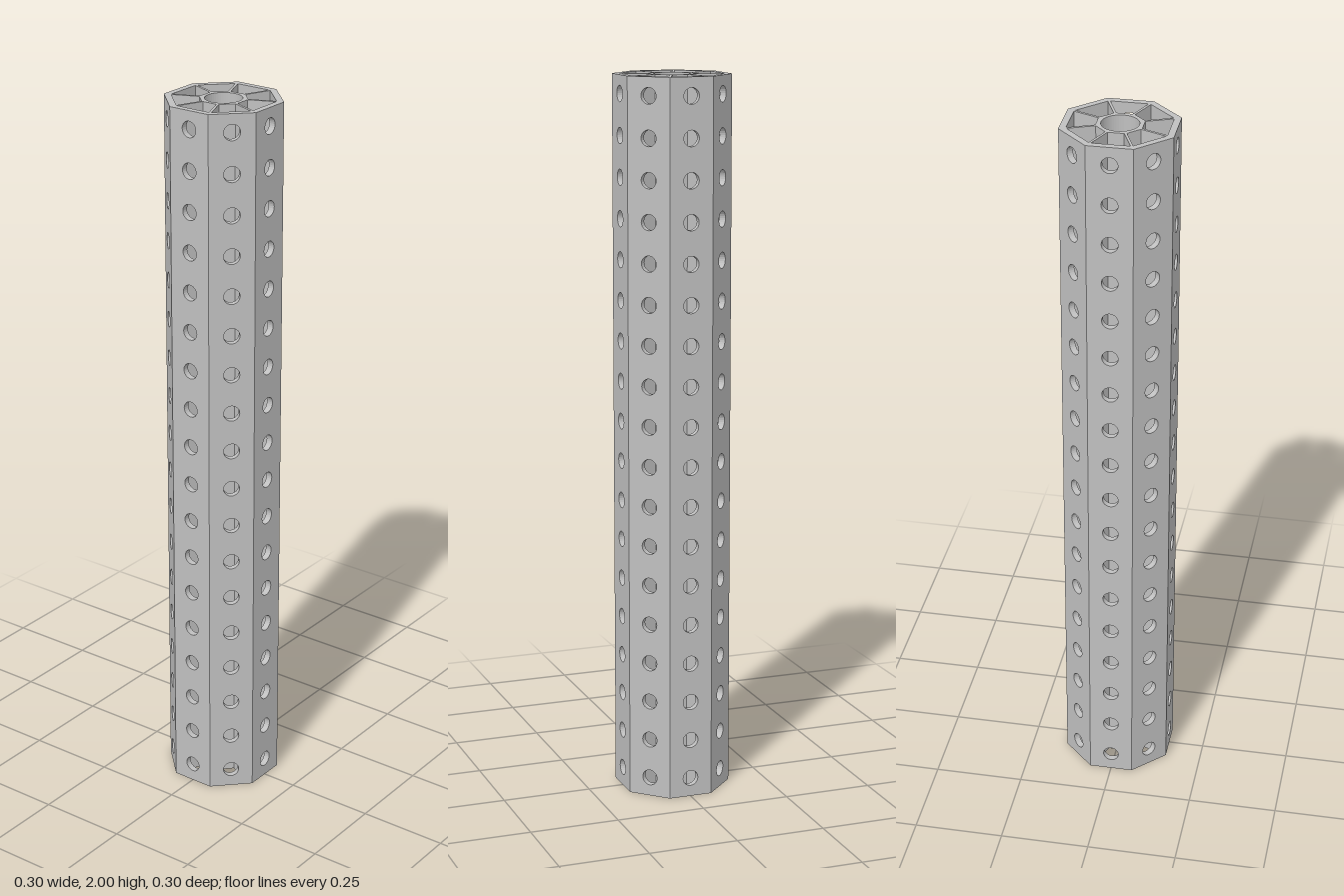
import * as THREE from 'three';

const HEIGHT = 2;
const OUTER = 0.149;        // centre to outer flat
const INNER = 0.131;        // centre to inside of the shell
const HUB = 0.061;          // centre to hub flat
const BORE = 0.05;
const HOLE_RADIUS = 0.022;
const HOLES = 18;
const TAN = Math.tan(Math.PI / 8);
const COS = Math.cos(Math.PI / 8);

// One perforated side wall, with its long edges mitred to meet its neighbours
function wallGeometry() {
  const half = OUTER * TAN;
  const shape = new THREE.Shape();
  shape.moveTo(-half, 0);
  shape.lineTo(half, 0);
  shape.lineTo(half, HEIGHT);
  shape.lineTo(-half, HEIGHT);
  shape.closePath();
  for (let i = 0; i < HOLES; i++) {
    const y = 0.053 + (i * 1.897) / (HOLES - 1);
    shape.holes.push(new THREE.Path().absarc(0, y, HOLE_RADIUS, 0, Math.PI * 2, true));
  }
  const geometry = new THREE.ExtrudeGeometry(shape, {
    depth: OUTER - INNER, bevelEnabled: false, curveSegments: 12,
  });
  geometry.translate(0, 0, INNER);
  const p = geometry.attributes.position;
  for (let i = 0; i < p.count; i++) {
    const x = p.getX(i);
    if (Math.abs(x) > half - 0.001) p.setX(i, Math.sign(x) * p.getZ(i) * TAN);
  }
  geometry.computeVertexNormals();
  return geometry;
}

// Octagonal core tube with a round bore
function hubGeometry() {
  const shape = new THREE.Shape();
  for (let i = 0; i < 8; i++) {
    const a = (i + 0.5) * Math.PI / 4;
    const x = Math.cos(a) * HUB / COS;
    const y = Math.sin(a) * HUB / COS;
    if (i === 0) shape.moveTo(x, y);
    else shape.lineTo(x, y);
  }
  shape.closePath();
  shape.holes.push(new THREE.Path().absarc(0, 0, BORE, 0, Math.PI * 2, true));
  const geometry = new THREE.ExtrudeGeometry(shape, {
    depth: HEIGHT, bevelEnabled: false, curveSegments: 24,
  });
  return geometry.rotateX(-Math.PI / 2);
}

export function createModel() {
  const model = new THREE.Group();
  model.name = 'perforatedOctagonalColumn';
  const grey = new THREE.MeshStandardMaterial({ color: 0xc0c0c0 });
  grey.name = 'lightGrey';

  const add = (name, geometry, angle = 0) => {
    const mesh = new THREE.Mesh(geometry, grey);
    mesh.name = name;
    mesh.rotation.y = angle;
    model.add(mesh);
  };

  // Webs run from the hub corners to the shell corners
  const start = HUB / COS - 0.002;
  const end = INNER / COS + 0.002;
  const web = new THREE.BoxGeometry(0.007, HEIGHT, end - start);
  web.translate(0, HEIGHT / 2, (start + end) / 2);

  const wall = wallGeometry();
  for (let i = 0; i < 8; i++) {
    add('sideWall' + (i + 1), wall, i * Math.PI / 4);
    add('web' + (i + 1), web, (i + 0.5) * Math.PI / 4);
  }
  add('hubTube', hubGeometry());
  return model;
}
